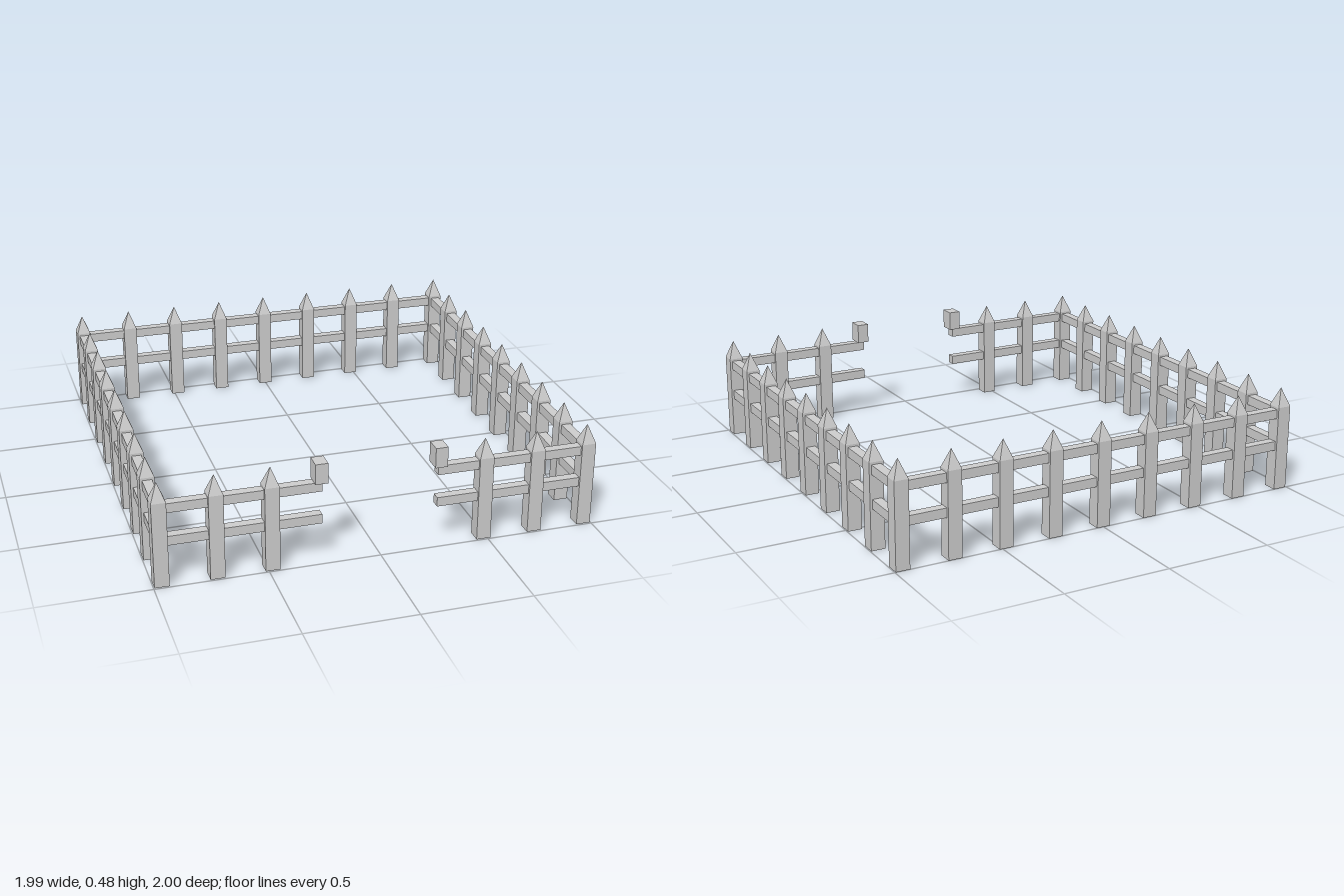
import * as THREE from 'three';

export function createModel() {
  const group = new THREE.Group();
  group.name = 'picketFence';
  const grey = new THREE.MeshStandardMaterial({ color: 0xcccccc });
  grey.name = 'paleGrey';

  const POST = 0.065, BODY = 0.395, TIP = 0.085, RAIL = 0.043;
  const X = 0.9635, BACK = -0.9675, FRONT = 0.96, COUNT = 8;
  const GATE = 0.26; // rails stop here on each side of the opening

  const bodyGeo = new THREE.BoxGeometry(POST, BODY, POST);
  // four-sided point, turned so its edges line up with the post
  const tipGeo = new THREE.ConeGeometry(POST / Math.SQRT2, TIP, 4, 1, true)
    .rotateY(Math.PI / 4).toNonIndexed();
  tipGeo.computeVertexNormals();

  const add = (parent, geo, name, x, y, z) => {
    const mesh = new THREE.Mesh(geo, grey);
    mesh.name = name;
    mesh.position.set(x, y, z);
    parent.add(mesh);
  };

  const addPost = (x, z) => {
    const post = new THREE.Group();
    post.name = 'post';
    post.position.set(x, 0, z);
    add(post, bodyGeo, 'postBody', 0, BODY / 2, 0);
    add(post, tipGeo, 'postPoint', 0, BODY + TIP / 2, 0);
    group.add(post);
  };

  // upper and lower rail between two ground points
  const addRails = (x0, z0, x1, z1) => {
    const geo = new THREE.BoxGeometry(
      Math.abs(x1 - x0) || RAIL, RAIL, Math.abs(z1 - z0) || RAIL);
    for (const [name, y] of [['lowerRail', 0.21], ['upperRail', 0.363]])
      add(group, geo, name, (x0 + x1) / 2, y, (z0 + z1) / 2);
  };

  // back wall
  for (let i = 0; i <= COUNT; i++) addPost(-X + (2 * X * i) / COUNT, BACK);
  addRails(-X, BACK, X, BACK);

  // side walls and the two front stretches beside the opening
  const blockGeo = new THREE.BoxGeometry(0.056, 0.094, 0.075);
  for (const s of [-1, 1]) {
    for (let i = 1; i <= COUNT; i++) addPost(s * X, BACK + ((FRONT - BACK) * i) / COUNT);
    addRails(s * X, BACK, s * X, FRONT);

    for (const f of [0.75, 0.5]) addPost(s * X * f, FRONT);
    addRails(s * X, FRONT, s * GATE, FRONT);
    add(group, blockGeo, 'gateBlock', s * 0.268, 0.433, 0.9625);
  }
  return group;
}
